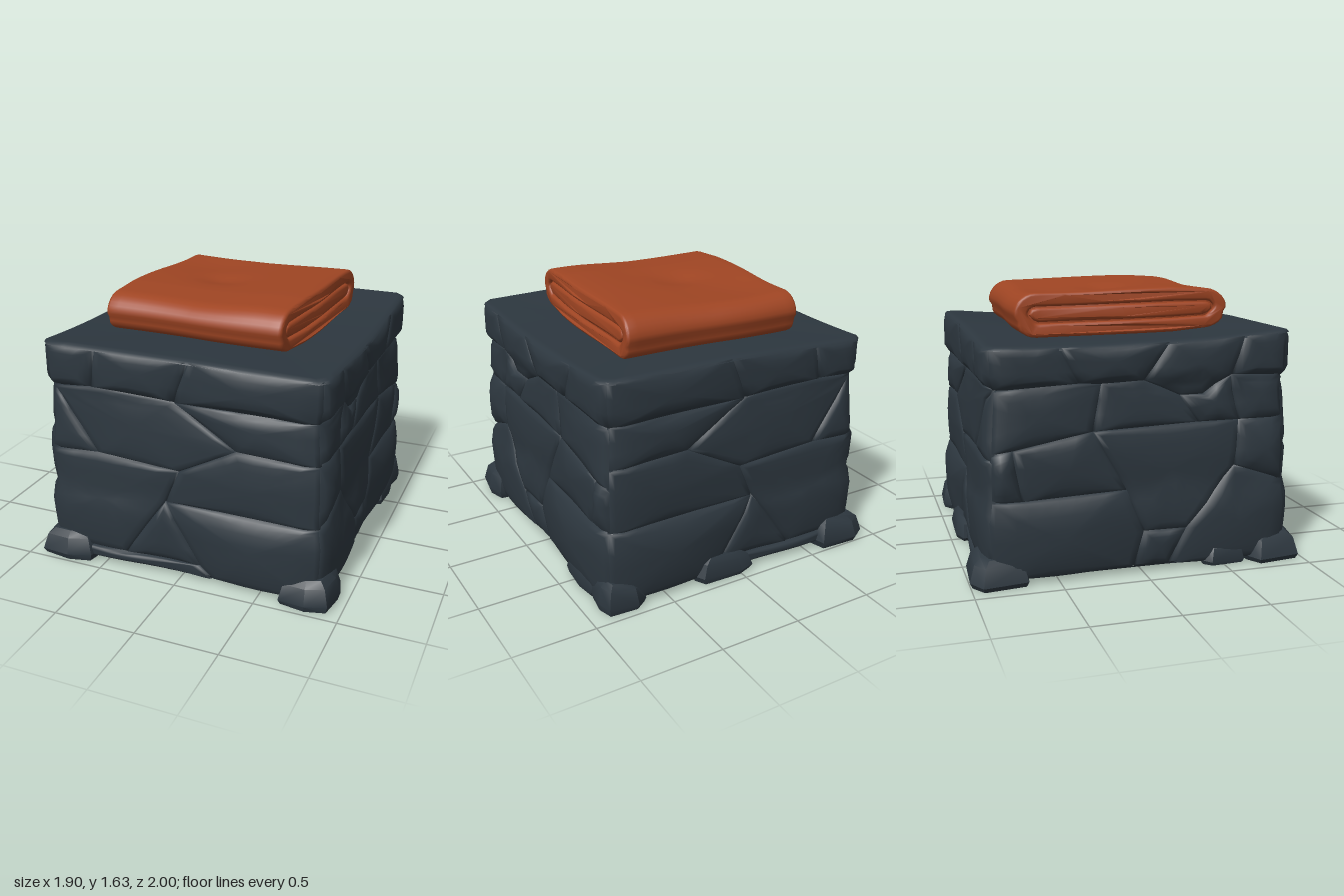
import * as THREE from 'three';
import { mergeVertices, toCreasedNormals } from 'three/addons/utils/BufferGeometryUtils.js';
import { ConvexGeometry } from 'three/addons/geometries/ConvexGeometry.js';

const stoneMat = new THREE.MeshStandardMaterial({ color: 0x2d373f });
stoneMat.name = 'slate stone';
const clothMat = new THREE.MeshStandardMaterial({ color: 0x9f4523 });
clothMat.name = 'rust cloth';

// Wall silhouette: extra outward offset at a given height
const PROFILE = [[0, 0.01], [0.2, 0.025], [0.38, 0.03], [0.5, 0.005], [0.7, 0.012], [0.86, 0], [1.1, -0.015], [1.16, 0.01], [1.4, 0.01]];
function swell(y) {
  for (let i = 1; i < PROFILE.length; i++) {
    const [y0, s0] = PROFILE[i - 1], [y1, s1] = PROFILE[i];
    if (y <= y1) return s0 + (s1 - s0) * Math.max(0, (y - y0) / (y1 - y0));
  }
  return 0.01;
}

// The rim dips midway along the left and right sides and at two worn corners
function dip(x, z) {
  const side = 0.04 * Math.max(0, 1 - (z / 0.85) ** 2) * Math.min(1, 0.3 + 0.7 * Math.abs(x) / 0.8);
  const d = (x + z) / 1.75;
  return side + (d < 0 ? 0.045 : 0.015) * Math.max(0, Math.abs(d) - 0.5) / 0.5;
}

// Wall surface: swelling courses, rounded corners, lumps low down and the dipped rim
function wallRule(half, turn) {
  const cos = Math.cos(turn), sin = Math.sin(turn);
  return (u, y, o) => {
    const s = swell(y), corner = 0.035 * Math.max(0, (Math.abs(u) - half + 0.13) / 0.13) ** 2;
    const lump = -0.016 * Math.cos(6.5 * u) * Math.max(0, 1 - y / 0.5);
    const sag = dip(u * cos + o * sin, o * cos - u * sin) * Math.max(0, (y - 1.1) / 0.28);
    return [u * (1 + s / half) - Math.sign(u) * corner, y - sag, o + s - corner + lump];
  };
}

// One domed stone: loops from the sunken rim to the raised centre
function stoneGeometry(outline, out, bulge, rule) {
  const pts = outline.map(p => new THREE.Vector2(...p));
  if (THREE.ShapeUtils.area(pts) < 0) pts.reverse();
  // split long edges so that the stone follows the wall profile
  const rim = [];
  pts.forEach((p, i) => {
    const q = pts[(i + 1) % pts.length], n = Math.max(1, Math.round(p.distanceTo(q) / 0.1));
    for (let k = 0; k < n; k++) rim.push(p.clone().lerp(q, k / n));
  });
  const c = rim.reduce((s, p) => s.add(p), new THREE.Vector2()).divideScalar(rim.length);
  const pos = [], idx = [], n = rim.length;
  const loops = [[0, 0, -0.022], [0.014, 0, -0.006], [0.05, 0, 0], [0, 0.4, bulge * 0.7], [0, 0.75, bulge]];
  for (const [inset, shrink, depth] of loops) {
    for (const p of rim) {
      const t = Math.max(shrink, Math.min(0.3, inset / p.distanceTo(c)));
      const v = p.clone().lerp(c, t);
      pos.push(...rule(v.x, v.y, out + depth));
    }
  }
  pos.push(...rule(c.x, c.y, out + bulge));
  const last = loops.length - 1;
  for (let i = 0; i < n; i++) {
    const j = (i + 1) % n;
    for (let l = 0; l < last; l++) {
      const a = l * n + i, b = l * n + j;
      idx.push(a, b, b + n, a, b + n, a + n);
    }
    idx.push(last * n + i, last * n + j, (last + 1) * n);
  }
  const g = new THREE.BufferGeometry();
  g.setAttribute('position', new THREE.Float32BufferAttribute(pos, 3));
  g.setIndex(idx);
  g.computeVertexNormals();
  return g;
}

const FRONT = [
  [[-.87, 1.38], [-.51, 1.37], [-.55, 1.14], [-.87, 1.11]],
  [[-.51, 1.37], [.07, 1.38], [-.03, 1.12], [-.55, 1.14]],
  [[.07, 1.38], [.87, 1.38], [.87, 1.11], [-.03, 1.12]],
  [[-.87, 1.11], [-.78, 1.06], [-.52, .73], [-.87, .71]],
  [[-.87, 1.11], [-.55, 1.14], [-.03, 1.12], [.35, .88], [0, .7], [-.52, .73], [-.78, 1.06]],
  [[-.03, 1.12], [.87, 1.11], [.87, .86], [.35, .88]],
  [[.35, .88], [.87, .86], [.87, .48], [-.09, .49], [0, .7]],
  [[-.87, .71], [-.52, .73], [0, .7], [-.09, .49], [-.35, .1], [-.87, .1]],
  [[-.09, .49], [.87, .48], [.87, .03], [.2, .03], [.12, .1]],
  [[-.09, .49], [.12, .1], [-.35, .1]],
  [[-.87, .1], [-.35, .1], [.12, .1], [.2, .03], [-.87, .03]],
];
const SIDE = [
  [[-.9, 1.38], [-.6, 1.38], [-.53, 1.14], [-.9, 1.12]],
  [[-.6, 1.38], [-.15, 1.38], [0, 1.13], [-.22, 1.03], [-.36, 1.03], [-.53, 1.14]],
  [[-.15, 1.38], [.48, 1.38], [.38, 1.13], [.25, 1.12], [0, 1.13]],
  [[.48, 1.38], [.9, 1.38], [.9, 1.1], [.38, 1.13]],
  [[-.9, 1.12], [-.53, 1.14], [-.58, .87], [-.9, .87]],
  [[-.53, 1.14], [-.36, 1.03], [-.22, 1.03], [-.33, .87], [-.58, .87]],
  [[-.22, 1.03], [0, 1.13], [.25, 1.12], [.3, .85], [-.33, .87]],
  [[.25, 1.12], [.38, 1.13], [.9, 1.1], [.9, .75], [.75, .77], [.3, .85]],
  [[-.9, .87], [-.58, .87], [-.55, .6], [-.9, .48]],
  [[-.58, .87], [-.33, .87], [.3, .85], [.1, .5], [0, .25], [-.25, .25], [-.55, .6]],
  [[.3, .85], [.75, .77], [.7, .48], [.1, .5]],
  [[.75, .77], [.9, .75], [.9, .48], [.7, .48]],
  [[-.9, .48], [-.55, .6], [-.25, .25], [-.15, .03], [-.9, .03]],
  [[-.25, .25], [0, .25], [.05, .04], [-.15, .03]],
  [[.1, .5], [.7, .48], [.9, .48], [.9, .03], [.05, .04], [0, .25]],
];
const BASE = [
  [[-.87, -.88], [-.1, -.91], [-.25, -.45], [-.88, -.35]],
  [[-.1, -.91], [.87, -.88], [.88, -.5], [.3, -.3], [-.25, -.45]],
  [[-.88, -.35], [-.25, -.45], [.3, -.3], [.1, .2], [-.88, .15]],
  [[.3, -.3], [.88, -.5], [.88, .3], [.1, .2]],
  [[-.88, .15], [.1, .2], [-.1, .91], [-.87, .88]],
  [[.1, .2], [.88, .3], [.87, .88], [-.1, .91]],
];

// Loose foundation stone: irregular footprint with a smaller top
function chunk(name, x, z, w, d, h, y = 0) {
  const ring = [[-.5, -.32], [-.25, -.5], [.4, -.46], [.5, -.1], [.42, .4], [.05, .5], [-.42, .42]];
  const pts = [];
  for (const [yy, s] of [[0, 0.92], [h * 0.22, 1], [h * 0.8, 0.84], [h, 0.62]])
    for (const [u, v] of ring) pts.push(new THREE.Vector3(u * w * s, yy + (yy > 0 ? u * 0.02 : 0), v * d * s));
  const m = new THREE.Mesh(toCreasedNormals(new ConvexGeometry(pts), 0.6), stoneMat);
  m.name = name;
  m.position.set(x, y, z);
  return m;
}

// Folded cloth layer: stadium cross-section swept along x
function stadium(half, r) {
  const p = new THREE.Path();
  p.absarc(half - r, 0, r, -Math.PI / 2, Math.PI / 2);
  p.absarc(-half + r, 0, r, Math.PI / 2, Math.PI * 1.5);
  p.closePath();
  return p.getSpacedPoints(110).slice(0, -1);
}
function clothLayer(name, half, r, wrap, length) {
  const shape = new THREE.Shape(stadium(half - 0.018, r - 0.018));
  if (wrap) shape.holes.push(new THREE.Path(stadium(half - wrap, r - wrap)));
  let g = new THREE.ExtrudeGeometry(shape, { depth: length, steps: 20, bevelSize: 0.018, bevelThickness: 0.02, bevelSegments: 3 });
  g.translate(0, 0, -length / 2);
  g.rotateY(Math.PI / 2);
  const p = g.attributes.position;
  for (let i = 0; i < p.count; i++) {
    const x = p.getX(i), y = p.getY(i), z = p.getZ(i), up = Math.max(0, y / 0.13);
    // centre dimple, a shallow hollow and a raised lump near one edge
    const dimple = 0.025 * Math.exp(-60 * ((x + 0.1) ** 2 + z * z));
    const hollow = 0.02 * Math.exp(-14 * ((x + 0.3) ** 2 + (z + 0.3) ** 2));
    const lump = 0.015 * Math.exp(-20 * (x - 0.4) ** 2 - 3 * (z - 0.2) ** 2);
    // thinner front end, and a crease along both rolled ends
    const taper = 1 - 0.15 * Math.max(0, z - 0.3) / 0.3;
    const crease = Math.abs(z) > 0.5 ? 0.018 * Math.exp(-(((y + 0.035) / 0.025) ** 2)) : 0;
    p.setY(i, y * taper + up * (lump - dimple - hollow + 0.02 * Math.abs(x) - 0.01));
    p.setX(i, x + 0.01 * Math.sin(6 * z + 1) * Math.sign(x));
    p.setZ(i, z + 0.006 * Math.sin(7 * x) - Math.sign(z) * crease);
  }
  g.deleteAttribute('normal');
  g.deleteAttribute('uv');
  g = toCreasedNormals(mergeVertices(g, 1e-4), 0.9);
  const m = new THREE.Mesh(g, clothMat);
  m.name = name;
  return m;
}

export function createModel() {
  const model = new THREE.Group();
  model.name = 'stone seat with folded cloth';

  // Inner core closing the joints
  const core = new THREE.Mesh(new THREE.BoxGeometry(1.58, 1.21, 1.64), stoneMat);
  core.name = 'core';
  core.position.y = 0.66;
  model.add(core);

  // Four walls of fitted stones
  const walls = [
    ['frontWall', FRONT, 0.9, 0.87, 0, 1], ['leftWall', SIDE, 0.87, 0.9, Math.PI / 2, 1],
    ['backWall', FRONT, 0.9, 0.87, Math.PI, -1], ['rightWall', SIDE, 0.87, 0.9, -Math.PI / 2, -1],
  ];
  for (const [name, stones, out, half, turn, mirror] of walls) {
    const wall = new THREE.Group();
    wall.name = name;
    wall.rotation.y = turn;
    stones.forEach((outline, i) => {
      const flipped = outline.map(([u, y]) => [u * mirror, y]);
      const stone = new THREE.Mesh(stoneGeometry(flipped, out, 0.005 + 0.005 * (i % 3), wallRule(half, turn)), stoneMat);
      stone.name = 'wallStone';
      wall.add(stone);
    });
    model.add(wall);
  }

  // Dished top slab and stones of the underside
  const slab = [[-.87, -.85], [-.82, -.9], [0, -.91], [.82, -.9], [.87, -.85], [.88, 0], [.87, .85], [.82, .9], [0, .91], [-.82, .9], [-.87, .85], [-.88, 0]];
  const slabRule = (x, v, y) => [x, y - dip(x, -v), -v];
  const top = new THREE.Mesh(stoneGeometry(slab, 1.388, -0.025, slabRule), stoneMat);
  top.name = 'topSlab';
  model.add(top);
  for (const outline of BASE) {
    const stone = new THREE.Mesh(stoneGeometry(outline, -0.03, 0.005, (x, z, o) => [x, -o, z]), stoneMat);
    stone.name = 'baseStone';
    model.add(stone);
  }

  // Corner feet and loose stones along the bottom
  model.add(
    chunk('frontRightFoot', -0.75, 0.82, 0.4, 0.35, 0.17),
    chunk('frontLeftFoot', 0.78, 0.81, 0.35, 0.34, 0.17),
    chunk('backRightFoot', -0.75, -0.83, 0.38, 0.35, 0.17),
    chunk('backLeftFoot', 0.78, -0.83, 0.28, 0.27, 0.17),
    chunk('backFootStone', 0.11, -0.87, 0.4, 0.2, 0.14, 0.01),
    chunk('leftFootStone', 0.82, -0.56, 0.2, 0.38, 0.13, 0.01),
    chunk('rightFootStone', -0.83, 0.5, 0.18, 0.28, 0.14, 0.01),
  );

  // Folded cloth: an outer wrap, a recessed filling and an inner fold
  const cloth = new THREE.Group();
  cloth.name = 'foldedCloth';
  cloth.add(
    clothLayer('outerFold', 0.64, 0.13, 0.062, 1.09),
    clothLayer('recessedFold', 0.6, 0.085, 0, 1.04),
    clothLayer('innerFold', 0.55, 0.042, 0, 1.08),
  );
  cloth.position.set(-0.005, 1.484, -0.012);
  cloth.rotation.set(-0.02, -0.045, 0);
  model.add(cloth);
  return model;
}
